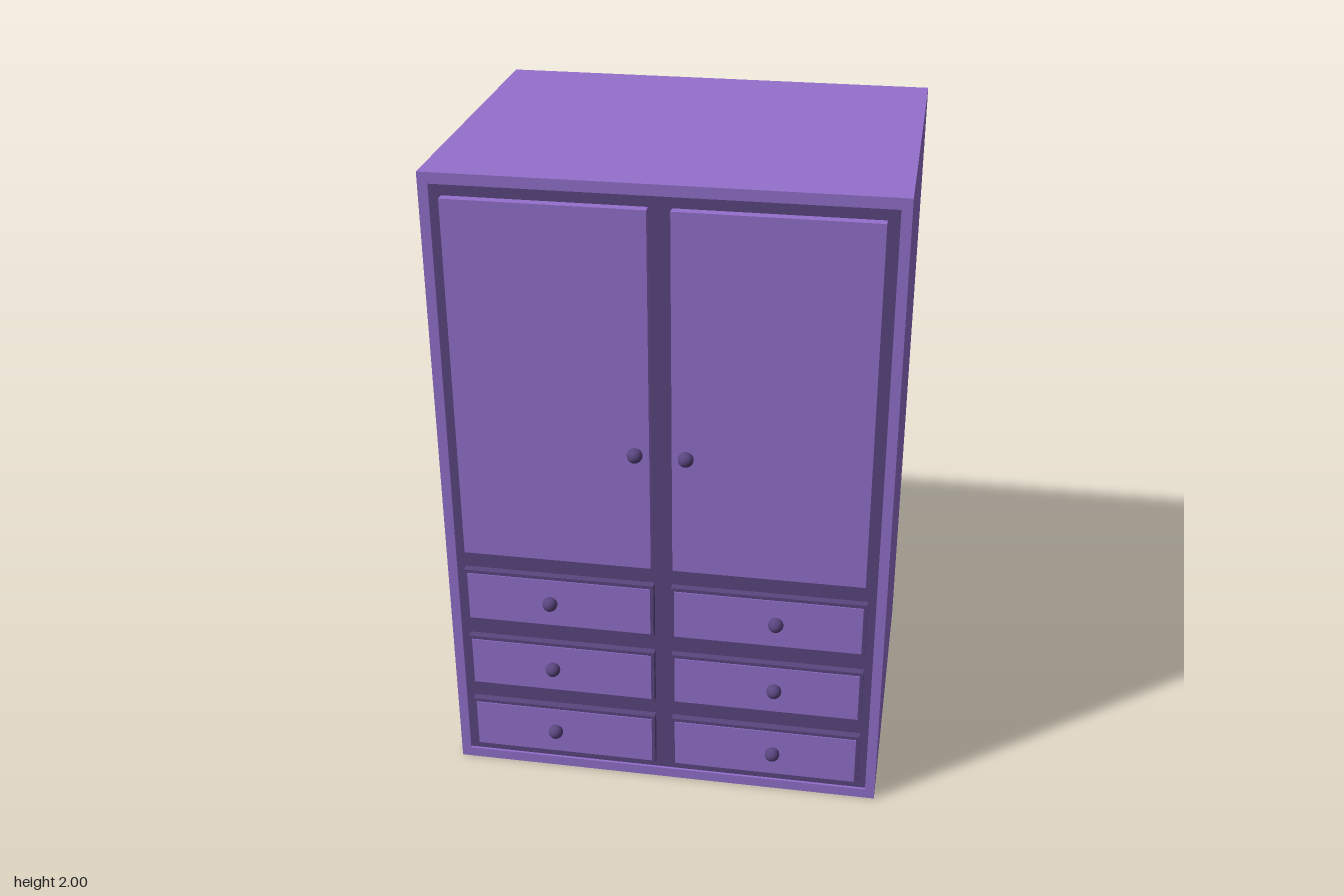
import * as THREE from 'three';

const purple = new THREE.MeshStandardMaterial({ color: 0x9370cc });
const dark = new THREE.MeshStandardMaterial({ color: 0x5a4680 });

const FRONT = 0.508, BACK = -0.558, RECESS = 0.008;

// Box given by its limits on each axis
function slab(name, material, [x0, x1], [y0, y1], [z0, z1]) {
  const mesh = new THREE.Mesh(new THREE.BoxGeometry(x1 - x0, y1 - y0, z1 - z0), material);
  mesh.position.set((x0 + x1) / 2, (y0 + y1) / 2, (z0 + z1) / 2);
  mesh.name = name;
  return mesh;
}

function knob(x, y) {
  const mesh = new THREE.Mesh(new THREE.SphereGeometry(0.023, 24, 16), dark);
  mesh.position.set(x, y, 0.533);
  mesh.name = 'knob';
  return mesh;
}

// Rectangle path from corner to corner
function rectangle(path, x0, y0, x1, y1) {
  path.moveTo(x0, y0);
  path.lineTo(x1, y0);
  path.lineTo(x1, y1);
  path.lineTo(x0, y1);
  path.closePath();
  return path;
}

export function createModel() {
  const model = new THREE.Group();
  model.name = 'wardrobe';

  // Carcass: an open shell running front to back, closed by a back panel
  const outline = rectangle(new THREE.Shape(), -0.675, 0, 0.675, 2);
  outline.holes.push(rectangle(new THREE.Path(), -0.645, 0.033, 0.645, 1.967));
  const shell = new THREE.Mesh(
    new THREE.ExtrudeGeometry(outline, { depth: FRONT - BACK, bevelEnabled: false }), purple);
  shell.position.z = BACK;
  shell.name = 'carcass';
  model.add(shell);
  model.add(slab('backPanel', purple, [-0.645, 0.645], [0.033, 1.967], [BACK, BACK + 0.02]));

  // Dark face frame set just inside the shell
  model.add(slab('faceFrame', dark, [-0.645, 0.645], [0.033, 1.967], [0.46, FRONT - RECESS]));

  for (const side of [-1, 1]) {
    const span = (a, b) => (side > 0 ? [a, b] : [-b, -a]);

    // Tall door with its knob near the middle
    const door = new THREE.Group();
    door.name = side > 0 ? 'leftDoor' : 'rightDoor';
    door.add(slab('doorPanel', purple, span(0.033, 0.611), [0.8, 1.933], [0.48, 0.528]));
    door.add(knob(side * 0.075, 1.185));
    model.add(door);

    // Three drawers: dark trim, lighter front, central knob
    for (const y of [0.154, 0.397, 0.642]) {
      const drawer = new THREE.Group();
      drawer.name = side > 0 ? 'leftDrawer' : 'rightDrawer';
      drawer.add(slab('drawerTrim', dark, span(0.027, 0.619), [y - 0.092, y + 0.092], [0.48, 0.523]));
      drawer.add(slab('drawerFront', purple, span(0.037, 0.609), [y - 0.081, y + 0.081], [0.49, 0.526]));
      drawer.add(knob(side * 0.349, y));
      model.add(drawer);
    }
  }
  return model;
}
